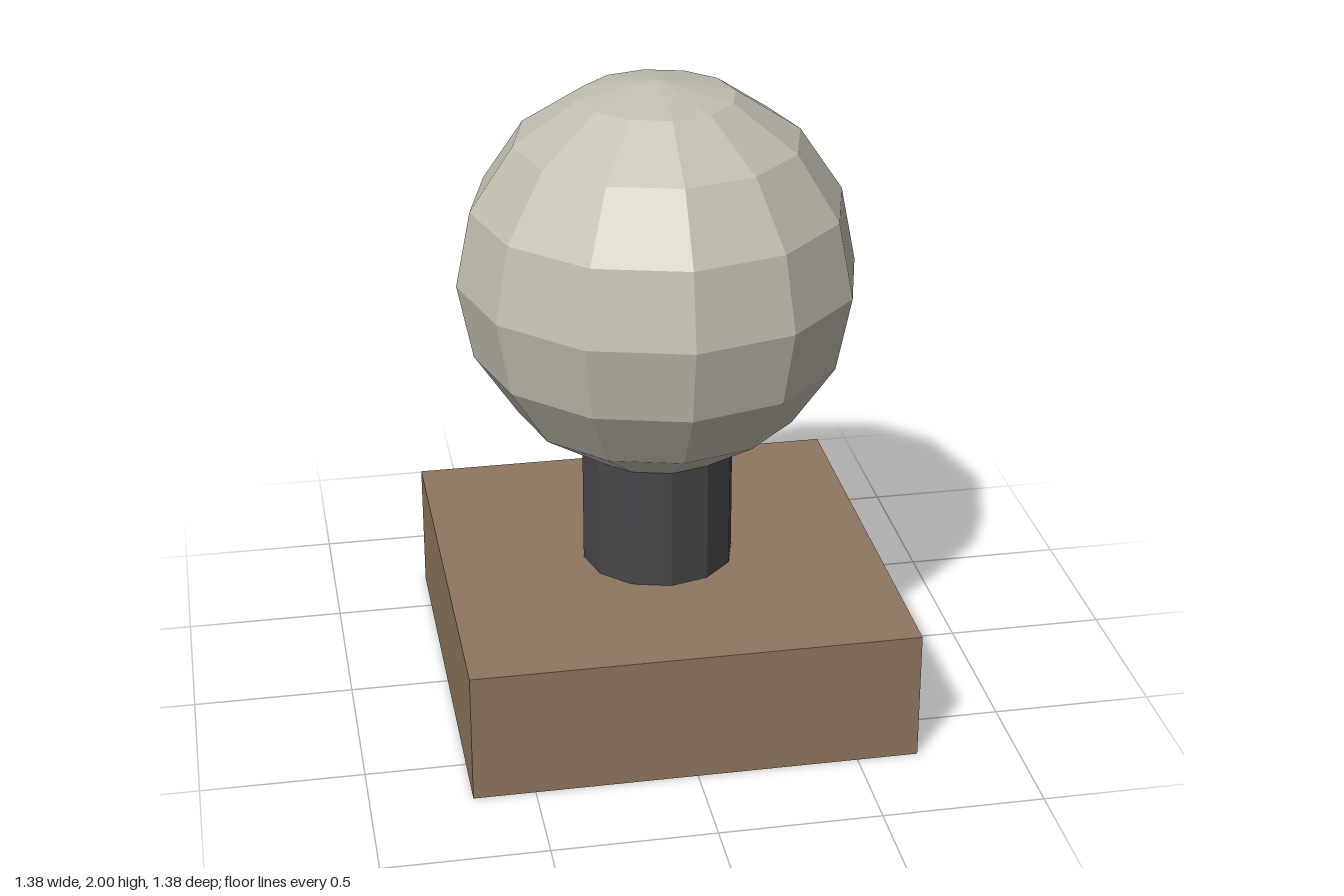
import * as THREE from 'three';

const SEGMENTS = 12;

function addPart(group, name, geometry, color, y) {
  const material = new THREE.MeshStandardMaterial({ color, flatShading: true });
  const mesh = new THREE.Mesh(geometry, material);
  mesh.name = name;
  mesh.position.y = y;
  group.add(mesh);
}

export function createModel() {
  const group = new THREE.Group();
  group.name = 'ballOnPlinth';

  // Square block the model stands on
  const baseHeight = 0.415;
  addPart(group, 'base', new THREE.BoxGeometry(1.38, baseHeight, 1.38), 0x8f7660, baseHeight / 2);

  // Short neck, reaching up to the lowest ring of the ball
  const neckTop = 0.815;
  addPart(group, 'neck',
    new THREE.CylinderGeometry(0.24, 0.24, neckTop - baseHeight, SEGMENTS),
    0x47474b, (baseHeight + neckTop) / 2);

  // Faceted ball
  const radius = 0.62;
  addPart(group, 'ball', new THREE.SphereGeometry(radius, SEGMENTS, 8), 0xc2beb0, 2 - radius);

  return group;
}
